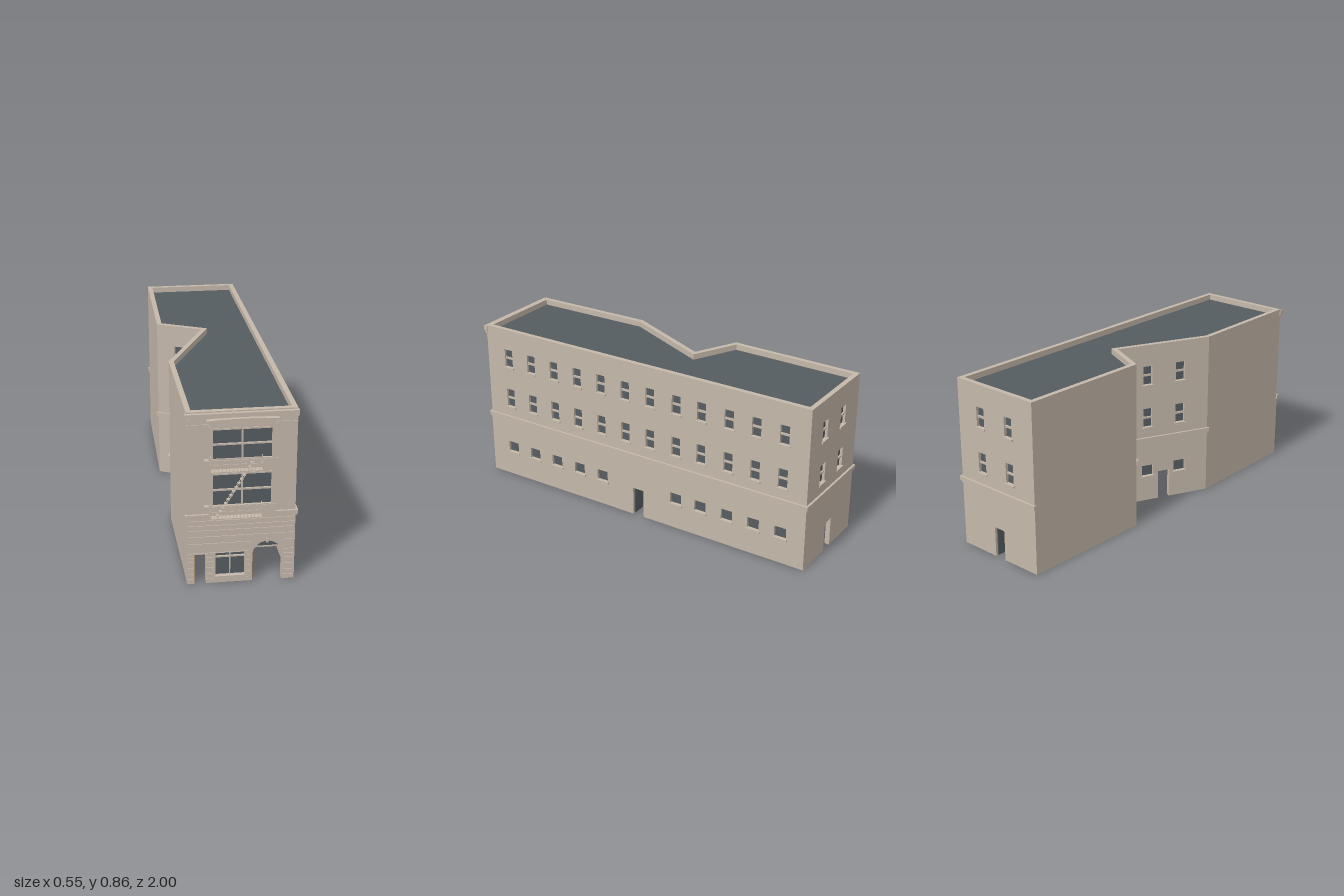
import * as THREE from 'three';

const stone = new THREE.MeshStandardMaterial({ color: 0xc5b8aa });
stone.name = 'stone';
const slate = new THREE.MeshStandardMaterial({ color: 0x555c61 });
slate.name = 'slate';
const wood = new THREE.MeshStandardMaterial({ color: 0x9c6a3a });
wood.name = 'wood';

const T = 0.025;       // wall thickness
const ROOF = 0.835;    // roof level
const TOP = 0.864;     // parapet top
const BELT = 0.34;     // belt course level

// Footprint corners (x, z), from the front left, round by the right side
const plan = [[-0.243, 0.94], [0.26, 0.94], [0.235, -0.988], [-0.265, -0.988],
  [-0.268, -0.29], [-0.045, -0.18], [-0.258, 0.285]].map(p => new THREE.Vector2(...p));

// Footprint moved inwards by d with mitred corners
function inset(d) {
  const n = plan.length;
  return plan.map((p, i) => {
    const d0 = p.clone().sub(plan[(i + n - 1) % n]).normalize();
    const d1 = plan[(i + 1) % n].clone().sub(p).normalize();
    const n0 = new THREE.Vector2(d0.y, -d0.x), n1 = new THREE.Vector2(d1.y, -d1.x);
    return n0.clone().add(n1).multiplyScalar(d / (1 + n0.dot(n1))).add(p);
  });
}

function add(parent, name, geometry, material = stone) {
  const mesh = new THREE.Mesh(geometry, material);
  mesh.name = name;
  parent.add(mesh);
  return mesh;
}

// Box given by its limits
function box(parent, name, x0, x1, y0, y1, z0, z1, material = stone) {
  const m = add(parent, name, new THREE.BoxGeometry(x1 - x0, y1 - y0, z1 - z0), material);
  m.position.set((x0 + x1) / 2, (y0 + y1) / 2, (z0 + z1) / 2);
  return m;
}

// Square bar between two points
function bar(parent, name, a, b, size) {
  const p = new THREE.Vector3(...a), q = new THREE.Vector3(...b);
  const m = add(parent, name, new THREE.BoxGeometry(size, size, p.distanceTo(q)));
  m.position.copy(p).add(q).multiplyScalar(0.5);
  m.lookAt(q);
  return m;
}

function rect(x0, x1, y0, y1) {
  return new THREE.Path([[x0, y0], [x1, y0], [x1, y1], [x0, y1]].map(p => new THREE.Vector2(...p)));
}

// Wall outline: doors notch the bottom edge, windows are holes
function wallShape(length, height, openings) {
  const s = new THREE.Shape().moveTo(0, 0);
  for (const o of openings.filter(o => o.y0 === 0).sort((a, b) => a.x - b.x)) {
    const x0 = o.x - o.w / 2, x1 = o.x + o.w / 2;
    s.lineTo(x0, 0);
    if (o.arch) {
      s.lineTo(x0, o.y1 - o.w / 2);
      s.absarc(o.x, o.y1 - o.w / 2, o.w / 2, Math.PI, 0, true);
    } else s.lineTo(x0, o.y1).lineTo(x1, o.y1);
    s.lineTo(x1, 0);
  }
  s.lineTo(length, 0).lineTo(length, height).lineTo(0, height);
  for (const o of openings) if (o.y0 > 0) s.holes.push(rect(o.x - o.w / 2, o.x + o.w / 2, o.y0, o.y1));
  return s;
}

const extrude = (shape, depth) =>
  new THREE.ExtrudeGeometry(shape, { depth, bevelEnabled: false, curveSegments: 16 });

const door = (x, w = 0.065, y1 = 0.155, leaf = slate) => ({ x, w, y0: 0, y1, leaf });
const lowWindow = x => ({ x, w: 0.065, y0: 0.14, y1: 0.2, sill: true });
const sashes = x => [[0.417, 0.52], [0.65, 0.75]].map(([y0, y1]) =>
  ({ x, w: 0.05, y0, y1, sill: true, rail: y0 + 0.05 }));

// One wall in local axes: x along the wall, z outwards
function buildWall(parent, name, index, openings, belt) {
  const a = plan[index], b = plan[(index + 1) % plan.length], inner = inset(T);
  const dir = b.clone().sub(a), length = dir.length();
  dir.normalize();
  const g = new THREE.Group();
  g.name = name;
  g.position.set(a.x, 0, a.y);
  g.rotation.y = Math.atan2(-dir.y, dir.x);
  parent.add(g);

  // Mitre the inner edges so that neighbouring walls meet
  const geo = extrude(wallShape(length, ROOF, openings), T);
  geo.translate(0, 0, -T);
  const start = inner[index].clone().sub(a).dot(dir);
  const end = inner[(index + 1) % plan.length].clone().sub(a).dot(dir);
  const pos = geo.attributes.position;
  for (let i = 0; i < pos.count; i++) {
    if (pos.getZ(i) > -T / 2) continue;
    if (pos.getX(i) < 1e-5) pos.setX(i, start);
    else if (pos.getX(i) > length - 1e-5) pos.setX(i, end);
  }
  geo.computeVertexNormals();
  add(g, 'wall', geo);

  for (const o of openings) {
    const x0 = o.x - o.w / 2, x1 = o.x + o.w / 2;
    if (o.leaf) { // door standing open inwards
      const h = o.arch ? 0.168 : o.y1, reach = -T - o.w * 0.88;
      box(g, 'openDoor', x0, x0 + 0.005, 0.003, h - 0.003, reach, -0.012, o.leaf);
      if (o.leaf === wood)
        box(g, 'doorGlass', x0 - 0.001, x0 + 0.006, h * 0.4, h * 0.88, reach + 0.012, -T - 0.008, slate);
      continue;
    }
    box(g, 'glass', x0, x1, o.y0, o.y1, -0.02, -0.014, slate);
    if (o.rail) box(g, 'sashRail', x0, x1, o.rail - 0.005, o.rail + 0.005, -0.016, -0.006);
    if (o.sill) box(g, 'sill', x0 - 0.007, x1 + 0.007, o.y0 - 0.009, o.y0, -0.014, 0.007);
  }
  if (belt) {
    box(g, 'beltCourse', -0.008, length + 0.008, BELT, BELT + 0.02, -0.005, 0.011);
    box(g, 'beltMoulding', -0.004, length + 0.004, BELT - 0.008, BELT, -0.005, 0.006);
  }
  return g;
}

// Balcony with railings on three sides
function buildBalcony(parent, y) {
  const g = new THREE.Group();
  g.name = 'balcony';
  g.position.y = y;
  parent.add(g);
  const x0 = -0.138, x1 = 0.097, z0 = 0.966, z1 = 0.998;
  box(g, 'platform', x0, x1, 0, 0.004, z0, z1);
  for (const h of [0.036, 0.066]) {
    box(g, 'frontRail', x0, x1, h, h + 0.003, z1 - 0.003, z1);
    for (const x of [x0, x1 - 0.003]) box(g, 'sideRail', x, x + 0.003, h, h + 0.003, z0, z1);
  }
  for (let i = 0; i <= 14; i++) {
    const x = x0 + (x1 - x0 - 0.002) * i / 14;
    box(g, 'baluster', x, x + 0.002, 0, 0.066, z1 - 0.002, z1);
  }
  for (const x of [x0, x1 - 0.002]) box(g, 'sideBaluster', x, x + 0.002, 0, 0.066, 0.98, 0.982);
}

export function createModel() {
  const model = new THREE.Group();
  model.name = 'building';

  // Front wall openings, with x measured from the left corner
  const fx = x => x + 0.243;
  const frontOpenings = [door(fx(-0.182), 0.054, 0.152, wood),
    { x: fx(-0.0425), w: 0.137, y0: 0.035, y1: 0.155 },
    { x: fx(0.131), w: 0.138, y0: 0, y1: 0.205, arch: true, leaf: wood }];
  const front = buildWall(model, 'frontWall', 0, frontOpenings, true);

  // Rusticated facing: grooves are slots in a thin layer
  const facing = wallShape(0.503, BELT, frontOpenings);
  for (const y of [0.022, 0.05, 0.082, 0.112, 0.135, 0.158, 0.207, 0.243, 0.275, 0.3, 0.325]) {
    const runs = y > 0.21 ? [[-0.24, 0.256]] : y > 0.156 ? [[-0.24, 0.052], [0.208, 0.256]]
      : [[-0.24, -0.212], [-0.152, -0.116], [0.034, 0.052], [0.208, 0.256]];
    for (const [a, b] of runs) facing.holes.push(rect(fx(a), fx(b), y, y + 0.005));
  }
  add(front, 'rusticatedFacing', extrude(facing, 0.004));

  // Shop window bars, arch fanlight and keystone
  box(front, 'shopMullion', fx(-0.045), fx(-0.04), 0.035, 0.155, -0.016, -0.004);
  box(front, 'shopTransom', fx(-0.111), fx(0.026), 0.128, 0.134, -0.016, -0.004);
  box(front, 'shopSill', fx(-0.116), fx(0.031), 0.028, 0.035, -0.014, 0.009);
  const fan = new THREE.Shape();
  const lift = Math.asin(0.035 / 0.069);
  fan.absarc(0, 0, 0.069, lift, Math.PI - lift, false);
  add(front, 'fanlight', extrude(fan, 0.006), slate).position.set(fx(0.131), 0.136, -0.02);
  box(front, 'fanlightRail', fx(0.062), fx(0.2), 0.166, 0.172, -0.022, -0.01);
  box(front, 'keystone', fx(0.125), fx(0.137), 0.198, 0.217, 0, 0.009);

  // Side and rear walls
  const columns = [0.8, 0.65, 0.5, 0.35, 0.2, 0.05, -0.1, -0.255, -0.4, -0.555, -0.705, -0.855].map(z => 0.94 - z);
  buildWall(model, 'rightWall', 1, [...columns.flatMap(sashes),
    ...columns.filter((c, i) => i !== 5 && i !== 6).map(lowWindow), door(0.967)], true);
  buildWall(model, 'backWall', 2, [...[0.15, 0.338].flatMap(sashes), door(0.25)], true);
  buildWall(model, 'rearLeftWall', 3, [], false);
  buildWall(model, 'shortCourtWall', 4, [...sashes(0.123), door(0.1)], true);
  buildWall(model, 'longCourtWall', 5, [...[0.165, 0.35].flatMap(sashes),
    ...[0.165, 0.35].map(lowWindow), door(0.26)], true);
  buildWall(model, 'frontLeftWall', 6, [], false);

  // Parapet ring and roof deck
  const flip = pts => pts.map(p => new THREE.Vector2(p.x, -p.y));
  const ring = new THREE.Shape(flip(plan));
  ring.holes.push(new THREE.Path(flip(inset(T))));
  const parapet = add(model, 'parapet', extrude(ring, TOP - ROOF));
  parapet.rotation.x = -Math.PI / 2;
  parapet.position.y = ROOF;
  const roof = add(model, 'roof', extrude(new THREE.Shape(flip(inset(T))), 0.008), slate);
  roof.rotation.x = -Math.PI / 2;
  roof.position.y = ROOF - 0.008;

  // Front cornice with end brackets
  box(model, 'corniceBand', -0.243, 0.26, 0.798, 0.803, 0.935, 0.944);
  box(model, 'cornice', -0.247, 0.263, 0.826, 0.836, 0.935, 0.952);
  box(model, 'corniceCap', -0.249, 0.264, 0.836, 0.858, 0.935, 0.957);
  for (const x of [-0.235, 0.241]) box(model, 'corniceBracket', x, x + 0.01, 0.81, 0.834, 0.938, 0.957);

  // Projecting window bay
  const bay = new THREE.Group();
  bay.name = 'windowBay';
  model.add(bay);
  const bayShape = new THREE.Shape().moveTo(-0.14, 0.36).lineTo(0.16, 0.36).lineTo(0.16, 0.826)
    .quadraticCurveTo(0.01, 0.836, -0.14, 0.826);
  const storeys = [[0.41, 0.563], [0.64, 0.782]];
  for (const [y0, y1] of storeys) bayShape.holes.push(rect(-0.125, 0.142, y0, y1));
  add(bay, 'bayFrame', extrude(bayShape, 0.024)).position.z = 0.939;
  for (const [y0, y1] of storeys) {
    const mid = (y0 + y1) / 2;
    box(bay, 'bayGlass', -0.125, 0.142, y0, y1, 0.946, 0.952, slate);
    box(bay, 'bayMullion', 0.005, 0.012, y0, y1, 0.95, 0.96);
    box(bay, 'bayTransom', -0.125, 0.142, mid - 0.004, mid + 0.004, 0.95, 0.96);
    box(bay, 'baySill', -0.163, 0.167, y0 - 0.009, y0 - 0.004, 0.938, 0.967);
    box(bay, 'bayHead', -0.128, 0.145, y1 + 0.004, y1 + 0.009, 0.96, 0.966);
  }
  for (const x of [-0.143, 0.149]) box(bay, 'pilaster', x, x + 0.014, 0.36, 0.8, 0.938, 0.966);
  box(bay, 'bayBase', -0.12, 0.14, 0.338, 0.362, 0.938, 0.963);
  const hood = new THREE.Shape().moveTo(-0.155, 0.82).lineTo(0.172, 0.82).lineTo(0.172, 0.831)
    .quadraticCurveTo(0.008, 0.844, -0.155, 0.831);
  add(bay, 'bayHood', extrude(hood, 0.036)).position.z = 0.938;

  // Fire escape
  const escape = new THREE.Group();
  escape.name = 'fireEscape';
  model.add(escape);
  for (const y of [0.357, 0.59]) buildBalcony(escape, y);
  for (let i = 0; i < 14; i++) {
    const t = i / 13, x = -0.105 + 0.155 * t, y = 0.37 + 0.255 * t;
    box(escape, 'tread', x - 0.007, x + 0.007, y, y + 0.003, 0.972, 0.99);
  }
  for (const z of [0.971, 0.991]) bar(escape, 'stringer', [-0.11, 0.362, z], [0.055, 0.632, z], 0.003);
  return model;
}
